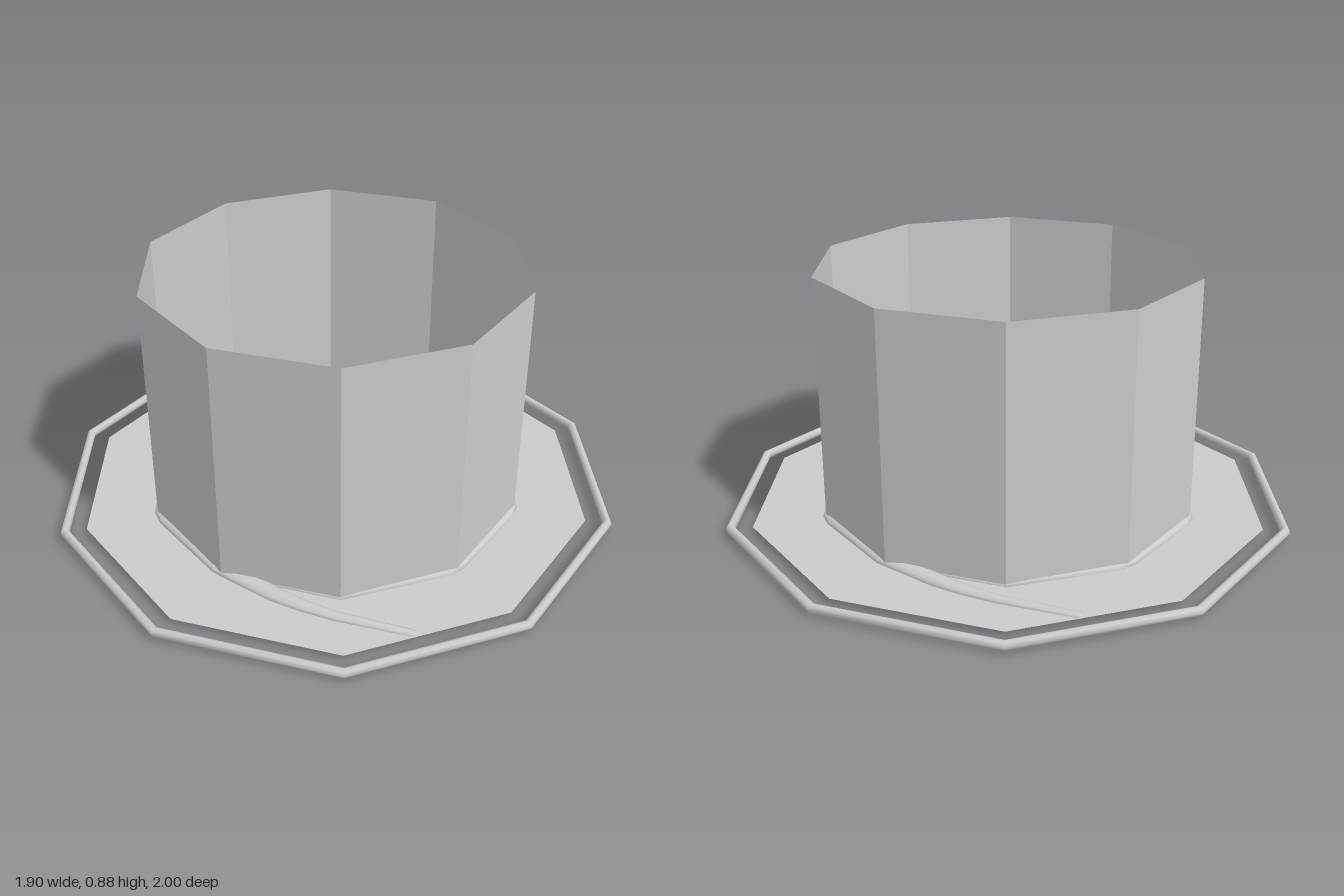
import * as THREE from 'three';

const SIDES = 10;

// Elliptical tube along flat points [x, z, halfWidth, halfHeight], closed at both ends
function sweep(points, y, ring = 10) {
  const pos = [], idx = [], n = points.length;
  points.forEach(([x, z, w, h], i) => {
    const a = points[Math.max(i - 1, 0)], b = points[Math.min(i + 1, n - 1)];
    const len = Math.hypot(b[0] - a[0], b[1] - a[1]);
    const nx = -(b[1] - a[1]) / len, nz = (b[0] - a[0]) / len;
    for (let j = 0; j < ring; j++) {
      const t = (j / ring) * Math.PI * 2;
      const s = Math.cos(t) * w;
      pos.push(x + nx * s, y + Math.sin(t) * h, z + nz * s);
    }
  });
  for (let i = 0; i < n - 1; i++) {
    for (let j = 0; j < ring; j++) {
      const a = i * ring + j, b = i * ring + (j + 1) % ring;
      idx.push(a, b, a + ring, b, b + ring, a + ring);
    }
  }
  for (let j = 1; j < ring - 1; j++) {
    const e = (n - 1) * ring;
    idx.push(0, j + 1, j, e, e + j, e + j + 1);
  }
  const g = new THREE.BufferGeometry();
  g.setAttribute('position', new THREE.Float32BufferAttribute(pos, 3));
  g.setIndex(idx);
  g.computeVertexNormals();
  return g;
}

export function createModel() {
  const model = new THREE.Group();
  const material = (extra = {}) => new THREE.MeshStandardMaterial({ color: 0xcccccc, ...extra });
  const add = (name, geometry, mat) => {
    const mesh = new THREE.Mesh(geometry, mat);
    mesh.name = name;
    model.add(mesh);
    return mesh;
  };
  const thin = material({ side: THREE.DoubleSide, flatShading: true });

  // Flat ten-sided disc, corner pointing to the front
  const disc = new THREE.CircleGeometry(0.91, SIDES);
  disc.rotateX(-Math.PI / 2).rotateY(Math.PI / 2).translate(0, 0.022, 0);
  add('baseDisc', disc, thin);

  // Open upright wall
  const wall = new THREE.CylinderGeometry(0.66, 0.66, 0.858, SIDES, 1, true);
  wall.translate(0, 0.022 + 0.429, 0);
  add('wall', wall, thin);

  // Thin outer ring floating around the disc
  const ring = new THREE.TorusGeometry(0.984, 0.016, 8, SIDES);
  ring.rotateX(Math.PI / 2).rotateY(Math.PI / 2).translate(0, 0.025, 0);
  add('outerRing', ring, material());

  // Two tapered spiral arms, half a turn apart
  const armPath = [
    [-0.23, -0.825, 0.008, 0.006], [-0.215, -0.82, 0.016, 0.012],
    [0.02, -0.74, 0.02, 0.016], [0.12, -0.69, 0.026, 0.018], [0.21, -0.635, 0.032, 0.022],
    [0.39, -0.495, 0.036, 0.021], [0.585, -0.235, 0.037, 0.021], [0.603, -0.195, 0.037, 0.021],
    [0.603, 0.195, 0.037, 0.021], [0.59, 0.225, 0.037, 0.021],
    [0.385, 0.5, 0.036, 0.021], [0.36, 0.52, 0.036, 0.021],
    [0, 0.63, 0.035, 0.02], [-0.27, 0.545, 0.03, 0.018], [-0.39, 0.51, 0.012, 0.01],
  ];
  const armGeometry = sweep(armPath, 0.021);
  const armMaterial = material({ side: THREE.DoubleSide });
  ['backArm', 'frontArm'].forEach((name, i) => {
    add(name, armGeometry, armMaterial).rotation.y = i * Math.PI;
  });

  return model;
}
